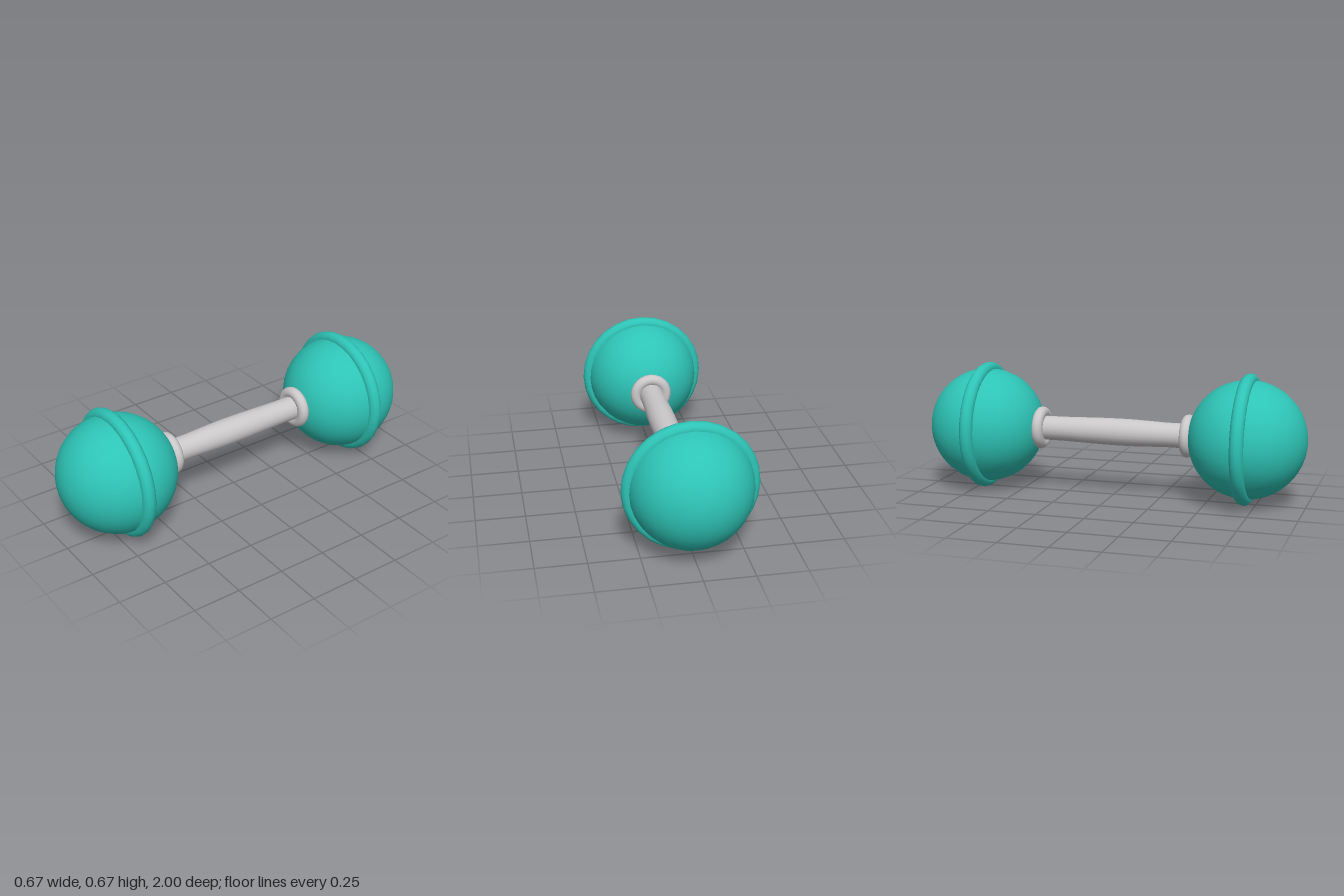
import * as THREE from 'three';

const CENTER_Y = 0.335;

export function createModel() {
  const teal = new THREE.MeshStandardMaterial({ name: 'teal', color: 0x2ec4b6 });
  const silver = new THREE.MeshStandardMaterial({ name: 'silver', color: 0xcbc8ca });
  const model = new THREE.Group();
  model.name = 'dumbbell';

  const add = (name, geometry, material, z = 0) => {
    const mesh = new THREE.Mesh(geometry, material);
    mesh.name = name;
    mesh.position.set(0, CENTER_Y, z);
    model.add(mesh);
    return mesh;
  };

  // Handle: a rod along z that swells slightly at the grip
  const profile = [
    [0.063, -0.45], [0.063, -0.28], [0.066, -0.17], [0.069, -0.06],
    [0.07, 0.04], [0.069, 0.12], [0.066, 0.2], [0.063, 0.28], [0.063, 0.45],
  ].map(([r, y]) => new THREE.Vector2(r, y));
  add('handle', new THREE.LatheGeometry(profile, 24), silver).rotation.x = Math.PI / 2;

  // Weight balls, their raised bands and the collars, mirrored front to back
  const ball = new THREE.SphereGeometry(0.3, 32, 24);
  ball.rotateX(Math.PI / 2);
  const band = new THREE.TorusGeometry(0.298, 0.035, 12, 28);
  const collar = new THREE.TorusGeometry(0.081, 0.03, 12, 24);
  for (const [side, s] of [['front', 1], ['back', -1]]) {
    add(side + 'Ball', ball, teal, 0.7 * s);
    add(side + 'Band', band, teal, 0.7 * s);
    add(side + 'Collar', collar, silver, 0.395 * s);
  }
  return model;
}
